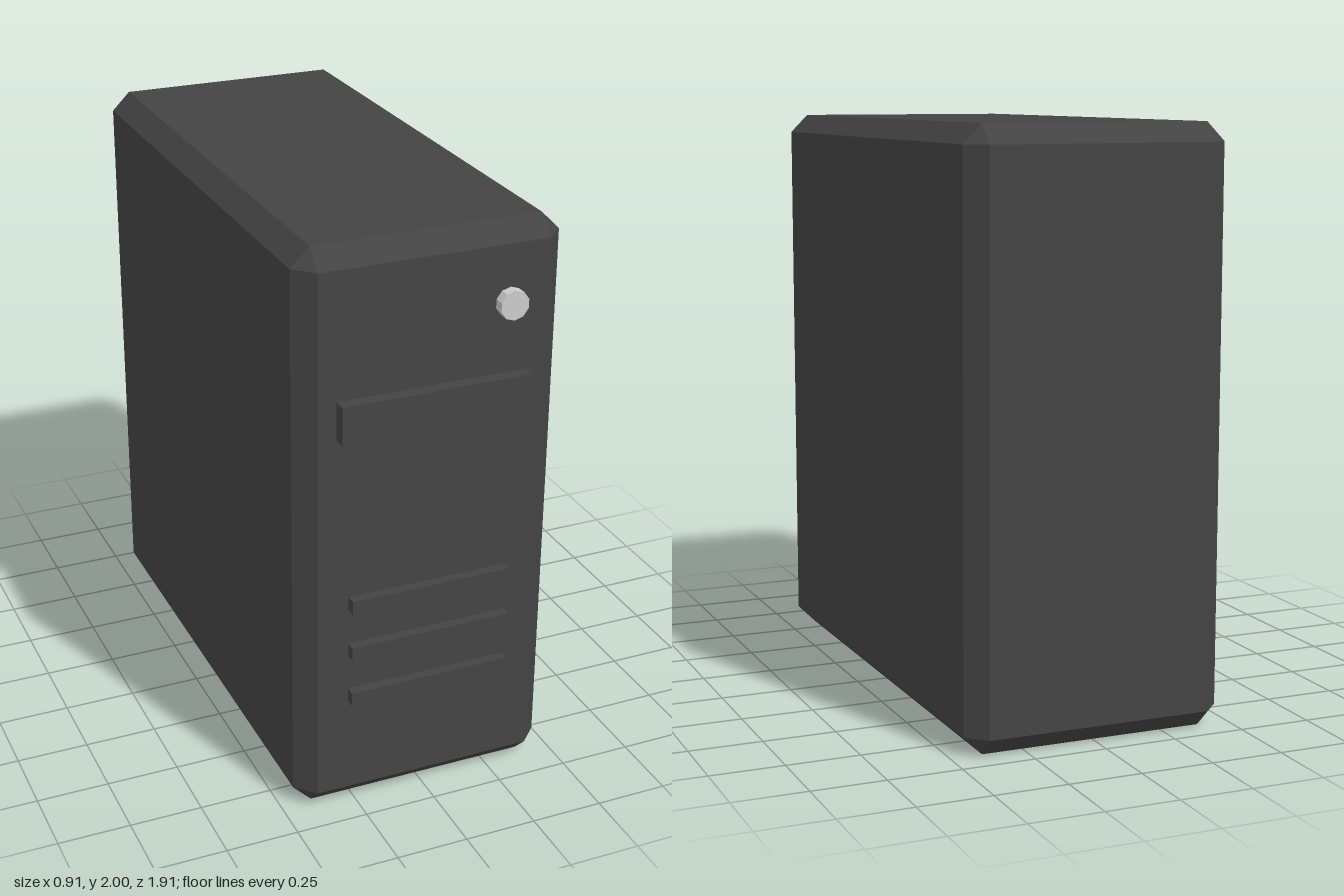
import * as THREE from 'three';
import { ConvexGeometry } from 'three/addons/geometries/ConvexGeometry.js';

// Box with flat chamfers on every edge and corner
function chamferedBox(w, h, d, c) {
  const points = [];
  const [x, y, z] = [w / 2, h / 2, d / 2];
  for (const sx of [-1, 1]) for (const sy of [-1, 1]) for (const sz of [-1, 1]) {
    points.push(
      new THREE.Vector3(sx * x, sy * (y - c), sz * (z - c)),
      new THREE.Vector3(sx * (x - c), sy * y, sz * (z - c)),
      new THREE.Vector3(sx * (x - c), sy * (y - c), sz * z)
    );
  }
  return new ConvexGeometry(points);
}

export function createModel() {
  const charcoal = new THREE.MeshStandardMaterial({ color: 0x444444 });
  charcoal.name = 'charcoal';
  const silver = new THREE.MeshStandardMaterial({ color: 0xcccccc });
  silver.name = 'silver';

  const model = new THREE.Group();
  model.name = 'computerTower';
  const add = (name, geometry, material, x, y, z) => {
    const mesh = new THREE.Mesh(geometry, material);
    mesh.name = name;
    mesh.position.set(x, y, z);
    model.add(mesh);
  };

  // Case
  add('case', chamferedBox(0.908, 2, 1.868, 0.064), charcoal, 0, 1, -0.023);

  // Disc drive front
  add('driveBay', new THREE.BoxGeometry(0.65, 0.13, 0.066), charcoal, -0.003, 1.44, 0.924);

  // Power button, facing forward
  const button = new THREE.CylinderGeometry(0.05, 0.05, 0.037, 10).toNonIndexed();
  button.computeVertexNormals();
  button.rotateX(Math.PI / 2);
  add('powerButton', button, silver, 0.257, 1.744, 0.929);

  // Vent slats, standing just clear of the front
  for (let i = 0; i < 3; i++) {
    add('ventSlat' + (i + 1), new THREE.BoxGeometry(0.568, 0.047, 0.034), charcoal,
      -0.002, 0.437 + i * 0.174, 0.935);
  }
  return model;
}
